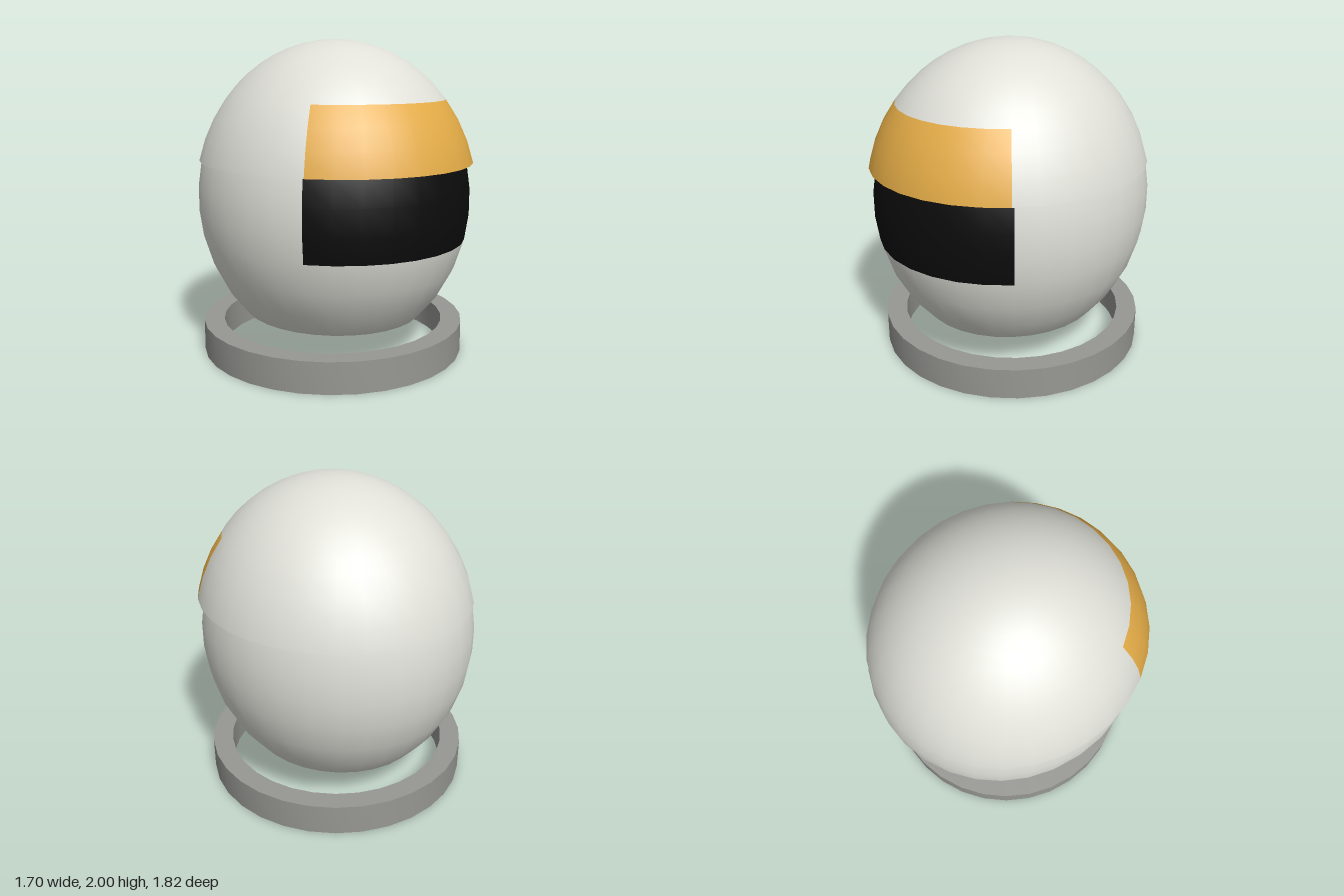
import * as THREE from 'three';
import { toCreasedNormals } from 'three/addons/utils/BufferGeometryUtils.js';

const material = (name, color, side = THREE.DoubleSide) =>
  new THREE.MeshStandardMaterial({ name, color, side });

const white = material('shell white', 0xe0e0d9);
const amber = material('visor amber', 0xe4ac47);
const black = material('opening black', 0x0c0c0c);
const grey = material('ring grey', 0x979793, THREE.FrontSide);

const rad = THREE.MathUtils.degToRad;
const STEP = 11.25; // 32 segments around
const FRONT = 90 - 5 * STEP; // the front panels span ten segments

// Part of an ellipsoid centred at y = 1, between two polar angles (degrees).
function patch(name, mat, size, z, around, [top, bottom], rows) {
  const [start, count] = around;
  const g = new THREE.SphereGeometry(1, count, rows,
    rad(start), rad(count * STEP), rad(top), rad(bottom - top));
  g.scale(size[0], 1, size[1]);
  const mesh = new THREE.Mesh(g, mat);
  mesh.name = name;
  mesh.position.set(0, 1, z);
  return mesh;
}

export function createModel() {
  const model = new THREE.Group();
  model.name = 'helmet';
  const full = [0, 32];
  const front = [FRONT, 10];
  const rest = [FRONT + 10 * STEP, 22];

  // Upper cap, slightly larger and set forward
  const cap = new THREE.Group();
  cap.name = 'upperCap';
  const capSize = [0.873, 0.927];
  cap.add(
    patch('crown', white, capSize, 0.013, full, [0, 50.9], 8),
    patch('capBand', white, capSize, 0.013, rest, [50.9, 75.9], 3),
    patch('visor', amber, capSize, 0.013, front, [50.9, 75.9], 3),
  );

  // Lower shell, open at the neck
  const shell = new THREE.Group();
  shell.name = 'lowerShell';
  const shellSize = [0.846, 0.902];
  shell.add(
    patch('shellBand', white, shellSize, -0.007, rest, [75.9, 104.1], 3),
    patch('faceOpening', black, shellSize, -0.007, front, [75.9, 104.1], 3),
    patch('jaw', white, shellSize, -0.007, full, [104.1, 138.6], 3),
  );

  // Separate collar ring on the ground
  const profile = [[0.72, 0], [0.85, 0], [0.85, 0.197], [0.72, 0.197], [0.72, 0]]
    .map(([r, y]) => new THREE.Vector2(r, y));
  const collar = new THREE.Mesh(
    toCreasedNormals(new THREE.LatheGeometry(profile, 32), 0.5), grey);
  collar.name = 'collarRing';
  collar.position.z = -0.007;

  model.add(cap, shell, collar);
  return model;
}
